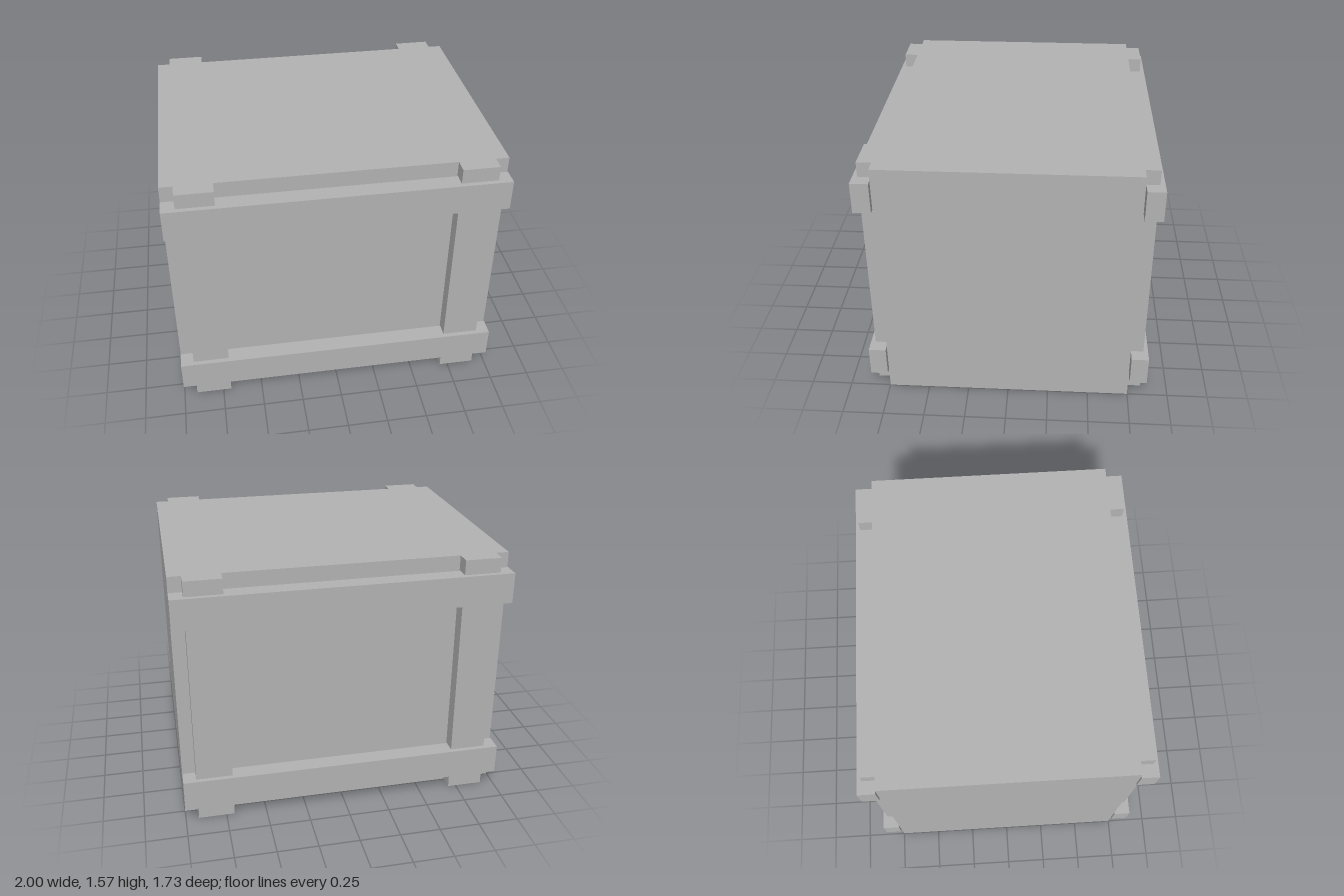
import * as THREE from 'three';

export function createModel() {
  const group = new THREE.Group();
  group.name = 'crate';
  const grey = new THREE.MeshStandardMaterial({ color: 0xb2b2b2 });
  grey.name = 'plain grey';

  // Adds a box given its lower and upper limits on each axis
  function addBox(name, [x0, x1], [y0, y1], [z0, z1]) {
    const mesh = new THREE.Mesh(new THREE.BoxGeometry(x1 - x0, y1 - y0, z1 - z0), grey);
    mesh.position.set((x0 + x1) / 2, (y0 + y1) / 2, (z0 + z1) / 2);
    mesh.name = name;
    group.add(mesh);
  }
  // Limits of a span mirrored to one side
  const side = (s, a, b) => (s > 0 ? [a, b] : [-b, -a]);

  const height = 1.565;
  addBox('crateBody', [-1, 1], [0, height], [-0.75, 0.75]);

  for (const face of [1, -1]) {
    const end = face > 0 ? 'front' : 'back';
    // Upright battens against the body
    for (const s of [1, -1]) {
      addBox(`${end}${s > 0 ? 'Left' : 'Right'}Upright`, side(s, 0.7, 0.92), [0, height], side(face, 0.75, 0.837));
    }
    // Horizontal battens lapped over the uprights, just clear of the body
    addBox(`${end}LowerBatten`, [-1, 1], [0.096, 0.284], side(face, 0.76, 0.866));
    addBox(`${end}UpperBatten`, [-1, 1], [1.286, 1.474], side(face, 0.76, 0.866));
  }
  return group;
}
